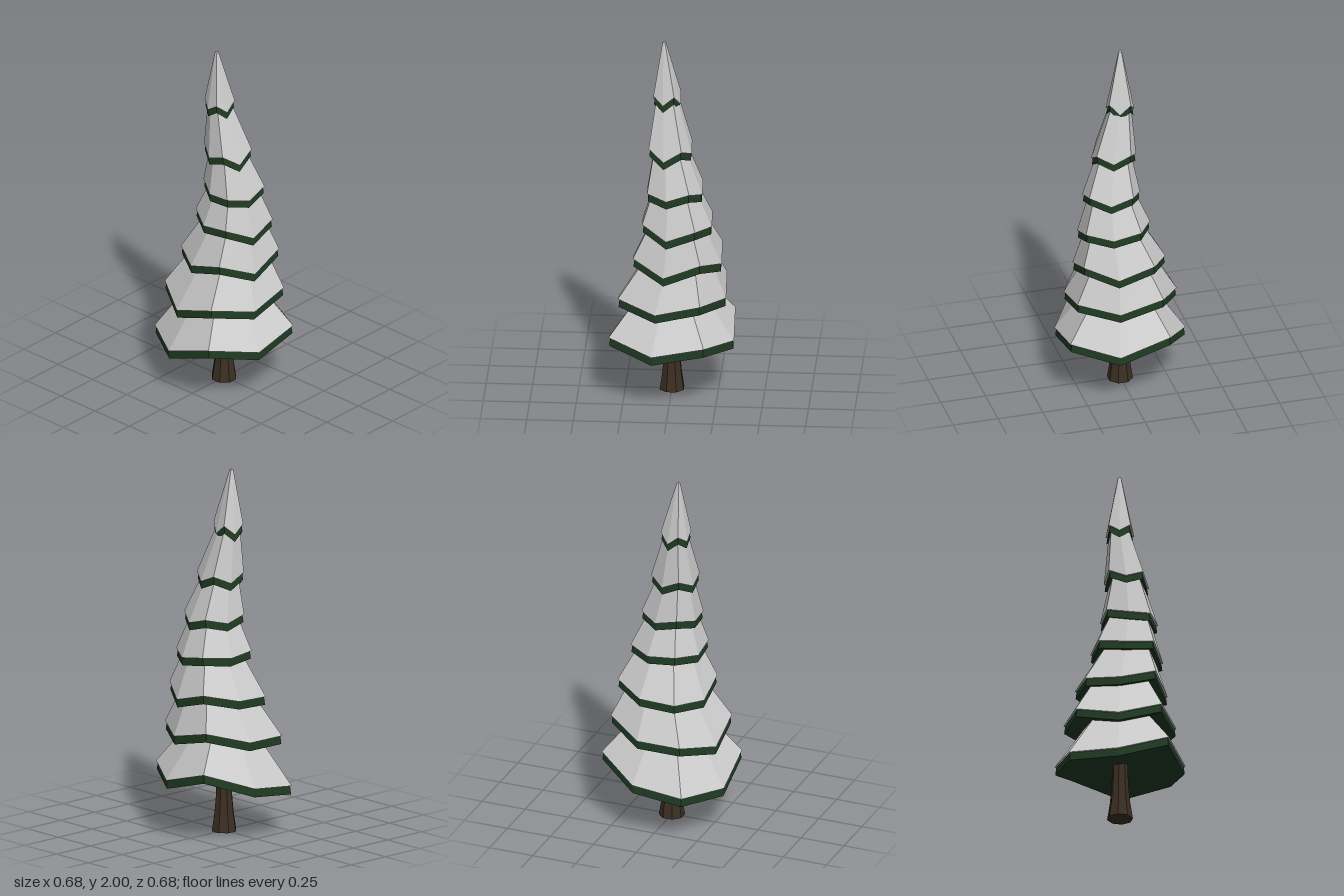
import * as THREE from 'three';

const SIDES = 8;
const material = (color) => new THREE.MeshStandardMaterial({ color, flatShading: true });

// Eight-cornered ring; corners alternate between long and short radius
function ring(cx, cz, size, heightAt) {
  return Array.from({ length: SIDES }, (_, i) => {
    const a = THREE.MathUtils.degToRad(15 + 45 * i);
    const r = size * (i % 2 ? 1.12 : 1.035);
    return new THREE.Vector3(cx + r * Math.cos(a), heightAt(i), cz + r * Math.sin(a));
  });
}

// Skin between successive rings
function loft(name, rings, mat) {
  const pos = [];
  const tri = (...pts) => pts.forEach((p) => pos.push(p.x, p.y, p.z));
  for (let k = 0; k + 1 < rings.length; k++) {
    const [b, t] = [rings[k], rings[k + 1]];
    for (let i = 0; i < SIDES; i++) {
      const j = (i + 1) % SIDES;
      tri(b[i], t[i], b[j]);
      tri(b[j], t[i], t[j]);
    }
  }
  const geo = new THREE.BufferGeometry();
  geo.setAttribute('position', new THREE.Float32BufferAttribute(pos, 3));
  geo.computeVertexNormals();
  const mesh = new THREE.Mesh(geo, mat);
  mesh.name = name;
  return mesh;
}

// Tiers from bottom to top: centre, half width, neck scale, rim corner heights
const TIERS = [
  { x: 0, z: 0, size: 0.34, neck: 0.6, rim: [0.32, 0.36, 0.31, 0.36, 0.26, 0.275, 0.31, 0.4] },
  { x: 0.003, z: 0, size: 0.293, neck: 0.74, rim: [0.56, 0.585, 0.535, 0.575, 0.495, 0.55, 0.555, 0.615] },
  { x: 0.032, z: 0.015, size: 0.241, neck: 0.76, rim: [0.76, 0.81, 0.735, 0.805, 0.745, 0.765, 0.775, 0.815] },
  { x: 0.032, z: 0.045, size: 0.189, neck: 0.78, rim: [0.98, 0.995, 0.94, 1.005, 0.985, 1.01, 0.995, 1.005] },
  { x: 0.02, z: 0.055, size: 0.15, neck: 0.75, rim: [1.165, 1.2, 1.16, 1.18, 1.175, 1.205, 1.175, 1.2] },
  { x: -0.006, z: 0.034, size: 0.117, neck: 0.77, rim: [1.39, 1.425, 1.365, 1.425, 1.39, 1.435, 1.39, 1.43] },
  { x: -0.026, z: -0.007, size: 0.074, rim: [1.655, 1.71, 1.66, 1.705, 1.665, 1.705, 1.655, 1.705] },
];
const TIP = { x: -0.043, z: -0.013, size: 0.009, y: 2 };

const mean = (list) => list.reduce((s, v) => s + v, 0) / list.length;

export function createModel() {
  const tree = new THREE.Group();
  tree.name = 'snowyFirTree';
  const snow = material(0xcccccc);
  const needles = material(0x1f3a22);
  const bark = material(0x3b2f22);

  // Flared trunk with a closed base
  const profile = [[0, 0], [0.07, 0], [0.055, 0.1], [0.046, 0.2], [0.041, 0.36]];
  const trunk = new THREE.Mesh(
    new THREE.LatheGeometry(profile.map(([r, y]) => new THREE.Vector2(r, y)), SIDES), bark);
  trunk.name = 'trunk';
  trunk.rotation.y = Math.PI / 8;
  tree.add(trunk);

  TIERS.forEach((tier, k) => {
    const group = new THREE.Group();
    group.name = `branchTier${k + 1}`;
    const next = TIERS[k + 1];
    const level = mean(tier.rim);
    const rimRing = (inset, drop) => ring(tier.x, tier.z, tier.size - inset, (i) => tier.rim[i] - drop);
    const eave = rimRing(0.009, 0.002);

    // Narrow snow eave, then the slope up to the neck hidden in the next tier, or to the capped tip
    const rings = [eave, rimRing(0, 0)];
    if (next) {
      const y = mean(next.rim);
      rings.push(ring(next.x, next.z, next.size * tier.neck, (i) => y + (tier.rim[i] - level) * 0.5));
    } else {
      rings.push(ring(TIP.x, TIP.z, TIP.size, () => TIP.y));
      rings.push(ring(TIP.x, TIP.z, 0, () => TIP.y));
    }
    group.add(loft('snow', rings, snow));

    // Green rim band and underside
    const lower = rimRing(0.004, 0.047 - 0.001 * k);
    const centre = ring(tier.x, tier.z, 0, () => level - 0.005);
    group.add(loft('needles', [centre, lower, eave], needles));
    tree.add(group);
  });
  return tree;
}
